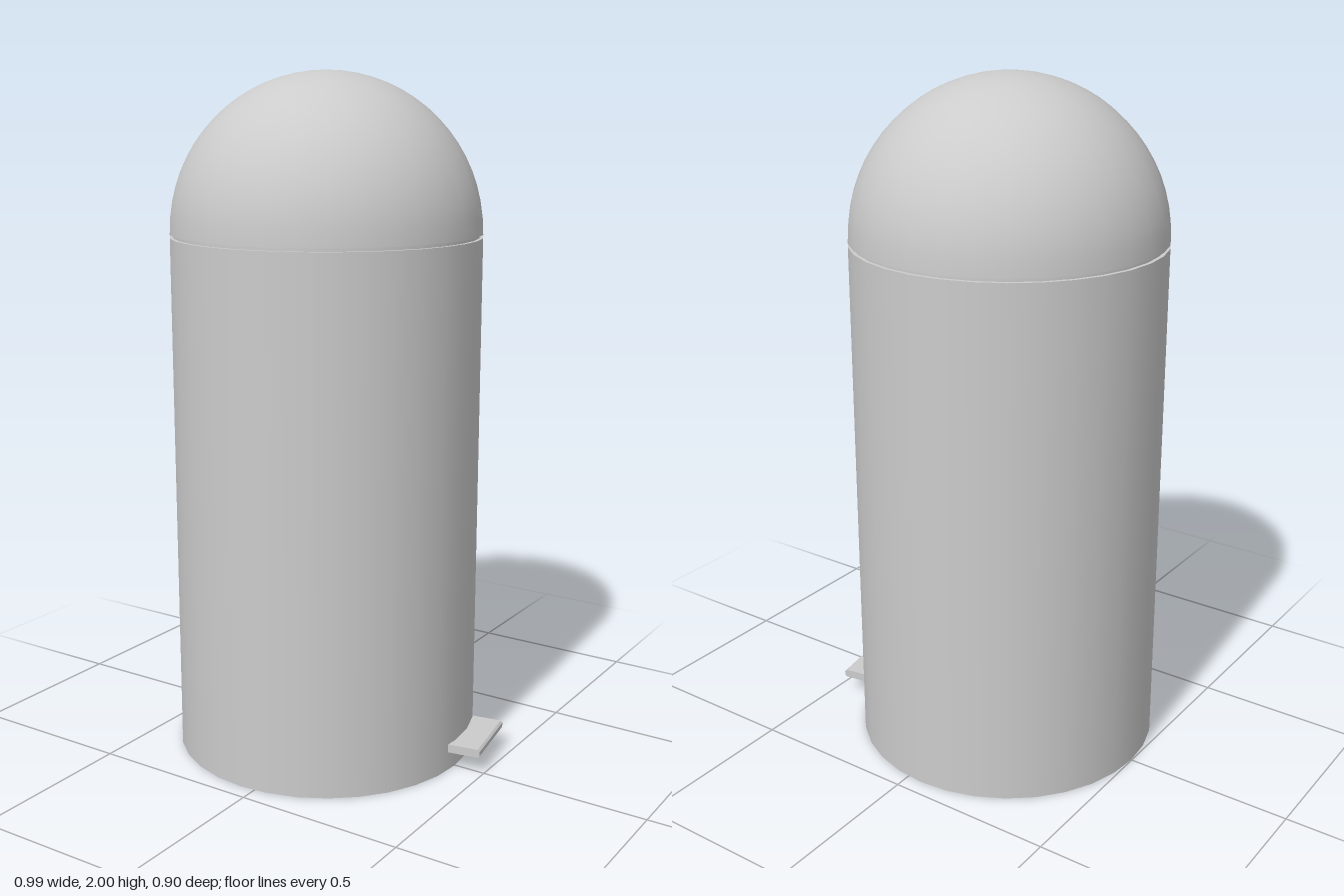
import * as THREE from 'three';

export function createModel() {
  const group = new THREE.Group();
  group.name = 'pedalBin';
  const material = new THREE.MeshStandardMaterial({ color: 0xcccccc, side: THREE.DoubleSide });
  const SIDES = 32, RADIUS = 0.451, RIM = 1.535, LID = 1.545;

  // Everything is placed around the axis of the bin
  const bin = new THREE.Group();
  bin.name = 'bin';
  bin.position.x = -0.047;
  group.add(bin);

  const add = (name, geometry) => {
    const mesh = new THREE.Mesh(geometry, material);
    mesh.name = name;
    bin.add(mesh);
    return mesh;
  };
  const turned = (name, points) =>
    add(name, new THREE.LatheGeometry(points.map(([r, y]) => new THREE.Vector2(r, y)), SIDES));

  // Open-bottomed shell with a narrow inward rim
  turned('body', [[RADIUS, 0], [RADIUS, RIM]]);
  turned('bodyRim', [[RADIUS, RIM], [0.44, RIM]]);
  turned('lidSeat', [[0.44, RIM], [0.44, LID]]);
  turned('lidRim', [[0.44, LID], [RADIUS, LID]]);

  // Domed lid
  const dome = [];
  for (let i = 0; i <= 16; i++) {
    const a = (i / 16) * Math.PI / 2;
    dome.push([i === 16 ? 0 : RADIUS * Math.cos(a), LID + (2 - LID) * Math.sin(a)]);
  }
  turned('lid', dome);

  // Foot pedal: a flat plate with a softened outer edge
  const width = 0.218, inner = 0.42, outer = 0.532, low = 0.055, high = 0.08, c = 0.006;
  const profile = new THREE.Shape([
    [inner, low], [outer - c, low], [outer, low + c],
    [outer, high - c], [outer - c, high], [inner, high],
  ].map(([x, y]) => new THREE.Vector2(x, y)));
  const plate = new THREE.ExtrudeGeometry(profile, { depth: width, bevelEnabled: false });
  plate.translate(0, 0, -width / 2);
  add('pedal', plate).rotation.y = 0.163;

  return group;
}
